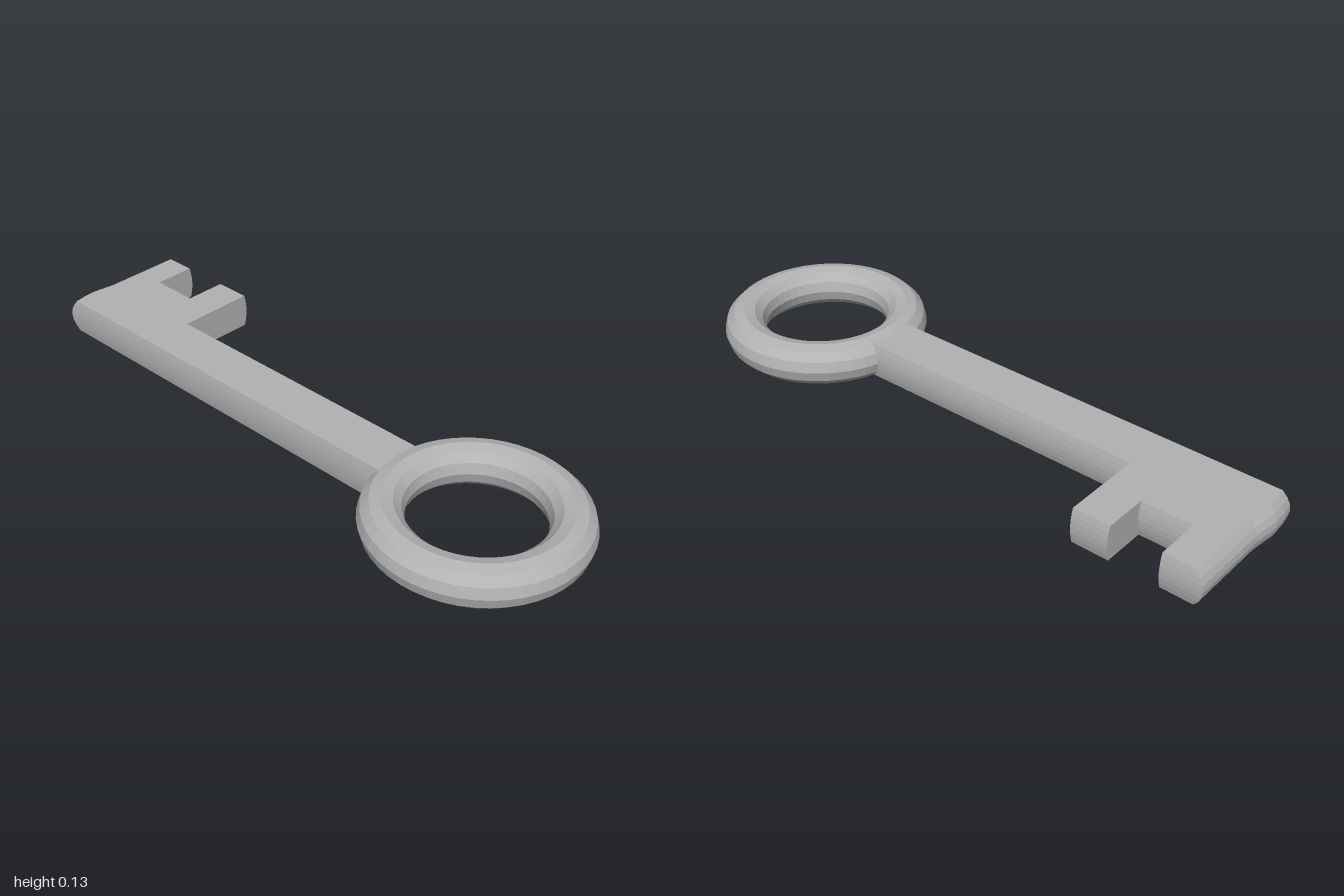
import * as THREE from 'three';

export function createModel() {
  const model = new THREE.Group();
  model.name = 'key';
  const metal = new THREE.MeshStandardMaterial({ color: 0xb2b2b2, flatShading: true });
  metal.name = 'grey metal';

  // Ring handle
  const ringGeo = new THREE.TorusGeometry(0.262, 0.066, 12, 48);
  ringGeo.rotateX(-Math.PI / 2);
  const ring = new THREE.Mesh(ringGeo, metal);
  ring.name = 'ringHandle';
  ring.position.set(-0.008, 0.066, 0.67);
  model.add(ring);

  // Shaft and bit in one outline: x across, second value towards the back
  const outline = [
    [-0.09, -0.385], [0.068, -0.385], [0.068, 0.587], [0.326, 0.587],
    [0.326, 0.705], [0.187, 0.705], [0.187, 0.863], [0.326, 0.863],
    [0.326, 0.963], [0.068, 0.963], [0.03, 0.968], [-0.01, 0.973],
    [-0.055, 0.97], [-0.09, 0.963],
  ].map(([x, y]) => new THREE.Vector2(x, y));
  const bottom = 0.01, height = 0.113;
  const geo = new THREE.ExtrudeGeometry(new THREE.Shape(outline), {
    depth: height, steps: 6, bevelEnabled: false,
  });
  geo.rotateX(-Math.PI / 2);

  // Swell the side walls slightly and the back end more, fullest at mid height
  const p = geo.attributes.position;
  for (let i = 0; i < p.count; i++) {
    const t = (2 * p.getY(i)) / height - 1;
    const swell = 1 - t * t;
    const x = p.getX(i), z = p.getZ(i);
    if (x > 0.05) p.setX(i, x + 0.009 * swell);
    if (x < -0.08) p.setX(i, x - 0.006 * swell);
    if (z < -0.95) p.setZ(i, z - 0.027 * swell);
  }
  geo.computeVertexNormals();
  const shaft = new THREE.Mesh(geo, metal);
  shaft.name = 'shaftAndBit';
  shaft.position.y = bottom;
  model.add(shaft);

  return model;
}
